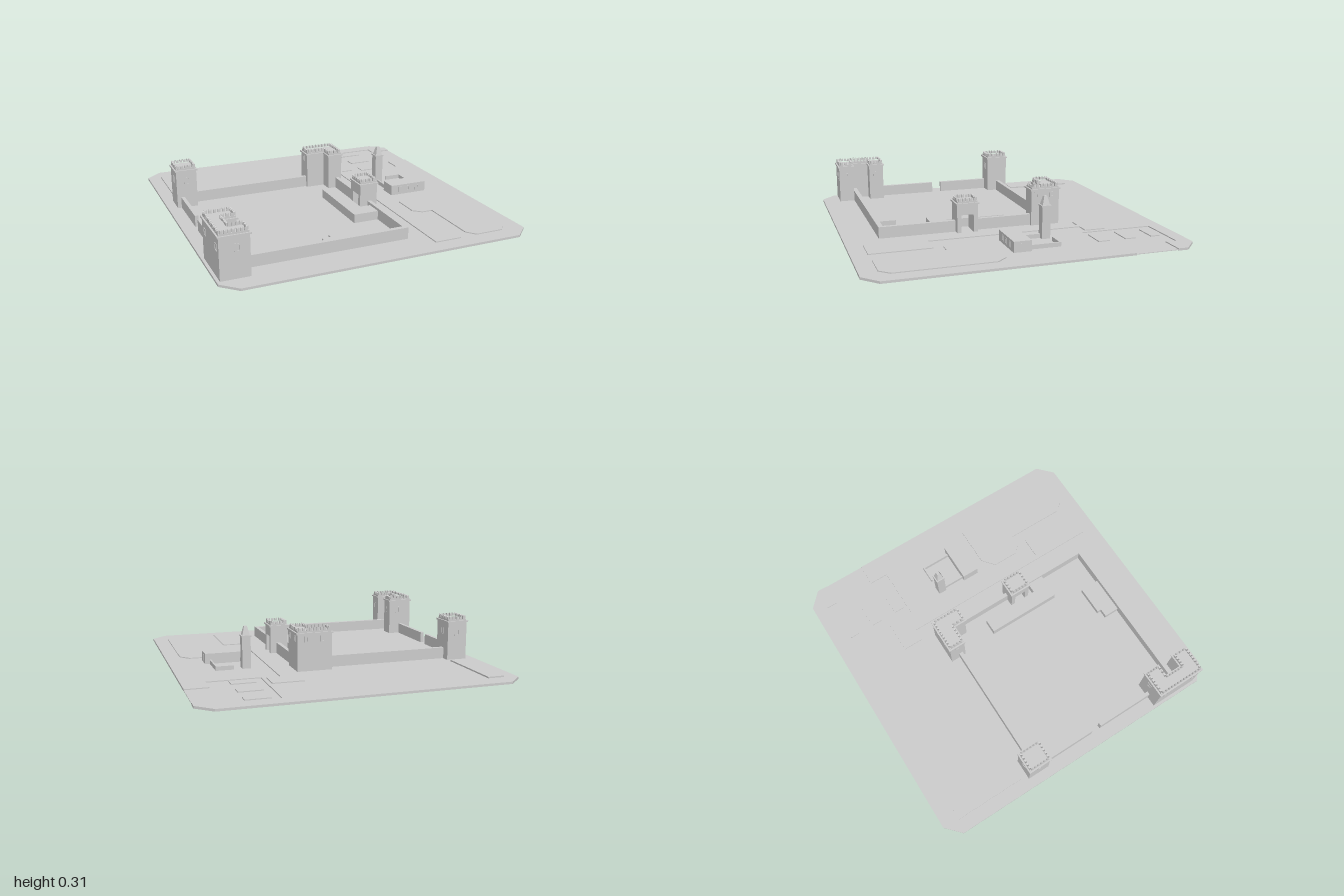
import * as THREE from 'three';

const material = new THREE.MeshStandardMaterial({ color: 0xcccccc, flatShading: true });
const BOTTOM = 0.012, GROUND = 0.026;

export function createModel() {
  const model = new THREE.Group();
  model.name = 'walledCastle';

  const add = (name, geometry, parent = model) => {
    const mesh = new THREE.Mesh(geometry, material);
    mesh.name = name;
    parent.add(mesh);
    return mesh;
  };

  // Upright prism over a plan outline of [x, z] points, optionally hollow
  const prism = (points, y0, y1, hole) => {
    const toVec = ([x, z]) => new THREE.Vector2(x, -z);
    const shape = new THREE.Shape(points.map(toVec));
    if (hole) shape.holes.push(new THREE.Path(hole.map(toVec)));
    return new THREE.ExtrudeGeometry(shape, { depth: y1 - y0, bevelEnabled: false })
      .rotateX(-Math.PI / 2).translate(0, y0, 0);
  };
  const rect = (x0, x1, z0, z1) => [[x0, z0], [x1, z0], [x1, z1], [x0, z1]];

  // Grow (d > 0) or shrink (d < 0) a right-angled outline
  const offset = (pts, d) => {
    const n = pts.length;
    const area = pts.reduce((s, [x, z], i) => {
      const [x2, z2] = pts[(i + 1) % n];
      return s + x * z2 - x2 * z;
    }, 0);
    const normal = (a, b) => {
      const l = Math.hypot(b[0] - a[0], b[1] - a[1]) * Math.sign(area);
      return [(b[1] - a[1]) / l, (a[0] - b[0]) / l];
    };
    return pts.map((p, i) => {
      const n1 = normal(pts[(i + n - 1) % n], p), n2 = normal(p, pts[(i + 1) % n]);
      return [p[0] + d * (n1[0] + n2[0]), p[1] + d * (n1[1] + n2[1])];
    });
  };

  // Swallow-tailed merlon
  const MERLON_T = 0.01;
  const merlonShape = new THREE.Shape([[-0.008, 0], [0.008, 0], [0.008, 0.02], [0, 0.011], [-0.008, 0.02]]
    .map(([x, y]) => new THREE.Vector2(x, y)));
  const merlon = new THREE.ExtrudeGeometry(merlonShape, { depth: MERLON_T, bevelEnabled: false })
    .translate(0, 0, -MERLON_T / 2);

  // Corbelled ledge, parapet and a row of merlons along every side
  const addCrown = (tower, pts, y) => {
    add('ledge', prism(offset(pts, 0.007), y, y + 0.01), tower);
    const outer = offset(pts, -0.003);
    add('parapet', prism(outer, y + 0.01, y + 0.02, offset(outer, -MERLON_T)), tower);
    const line = offset(outer, -MERLON_T / 2);
    line.forEach(([x, z], i) => {
      const [x2, z2] = line[(i + 1) % line.length];
      const count = Math.max(2, Math.round(Math.hypot(x2 - x, z2 - z) / 0.024));
      for (let k = 0; k < count; k++) {
        const t = (k + 0.5) / count;
        const m = add('merlon', merlon, tower);
        m.position.set(x + (x2 - x) * t, y + 0.02, z + (z2 - z) * t);
        m.rotation.y = Math.atan2(z - z2, x2 - x);
      }
    });
  };

  // Window frame on a wall; turn is the number of quarter turns from +z
  const addWindow = (parent, x, y, z, turn, w = 0.034, h = 0.045) => {
    const box = (a, b) => [[-a, -b], [a, -b], [a, b], [-a, b]].map(p => new THREE.Vector2(...p));
    const shape = new THREE.Shape(box(w / 2, h / 2));
    shape.holes.push(new THREE.Path(box(w / 2 - 0.006, h / 2 - 0.006)));
    const frame = add('windowFrame',
      new THREE.ExtrudeGeometry(shape, { depth: 0.003, bevelEnabled: false }), parent);
    frame.position.set(x, y, z);
    frame.rotation.y = turn * Math.PI / 2;
  };

  const addTower = (name, pts, y0, crownY, windows) => {
    const tower = new THREE.Group();
    tower.name = name;
    model.add(tower);
    add('towerBody', prism(pts, y0, crownY), tower);
    addCrown(tower, pts, crownY);
    windows.forEach(w => addWindow(tower, ...w));
  };

  // Ground slab with a sunken garden open to the right edge
  const garden = [[0.965, -0.845], [0.82, -0.845], [0.82, -0.915], [0.49, -0.915],
    [0.49, -0.445], [0.82, -0.445], [0.82, -0.57], [0.965, -0.57]];
  add('groundSlab', prism([[-0.87, -1], [0.87, -1], [0.966, -0.91], ...garden,
    [0.966, 0.91], [0.87, 1], [-0.87, 1], [-0.966, 0.91], [-0.966, -0.91]], BOTTOM, GROUND));
  add('gardenFloor', prism(garden, 0.016, 0.02));
  for (const [z0, z1] of [[-0.88, -0.82], [-0.715, -0.645], [-0.54, -0.465]])
    add('gardenBed', prism(rect(0.54, 0.69, z0, z1), BOTTOM, 0.026));

  // Low raised areas
  add('backTerrace', prism(rect(-0.88, -0.775, -0.89, -0.425), BOTTOM, 0.035));
  add('road', prism([[0.27, -0.615], [0.465, -0.615], [0.465, -0.48], [0.38, -0.48], [0.38, 0.515],
    [0.52, 0.515], [0.52, 0.9], [0.35, 0.9], [0.35, -0.48], [0.27, -0.48]], BOTTOM, 0.032));
  add('lawn', prism([[0.55, 0.17], [0.815, 0.17], [0.87, 0.235], [0.87, 0.835], [0.815, 0.895],
    [0.635, 0.895], [0.59, 0.84], [0.59, 0.455], [0.52, 0.455], [0.47, 0.41], [0.47, 0.235]], BOTTOM, 0.032));

  // Curtain walls
  const walls = {
    frontWall: rect(-0.86, 0.228, 0.755, 0.785),
    rightWallFront: rect(0.203, 0.228, 0.27, 0.755),
    rightWallBack: rect(0.203, 0.228, -0.21, 0.19),
    backWall: rect(-0.78, 0.03, -0.33, -0.304),
    leftWallBack: rect(-0.88, -0.857, -0.24, 0.115),
    leftWallFront: rect(-0.88, -0.857, 0.18, 0.58),
  };
  for (const [name, pts] of Object.entries(walls)) add(name, prism(pts, GROUND, 0.098));

  // Buildings inside the walls
  add('rightRange', prism([[0.04, -0.05], [0.135, -0.05], [0.135, 0.335], [0.205, 0.335],
    [0.205, 0.445], [0.04, 0.445]], BOTTOM, 0.082));
  add('frontRange', prism([[-0.27, 0.756], [-0.27, 0.655], [-0.215, 0.655], [-0.215, 0.628],
    [-0.025, 0.628], [-0.025, 0.756]], BOTTOM, 0.062));

  // Corner towers
  addTower('backLeftTower', rect(-0.905, -0.772, -0.385, -0.237), 0, 0.27, [
    [-0.838, 0.205, -0.237, 0], [-0.772, 0.205, -0.31, 1],
    [-0.838, 0.205, -0.385, 2], [-0.905, 0.205, -0.31, 3]]);
  addTower('frontLeftTower', [[-0.948, 0.568], [-0.78, 0.568], [-0.78, 0.668], [-0.862, 0.668],
    [-0.862, 0.785], [-0.775, 0.785], [-0.775, 0.885], [-0.948, 0.885]], 0, 0.27, [
    [-0.845, 0.205, 0.885, 0], [-0.775, 0.205, 0.837, 1], [-0.78, 0.205, 0.62, 1],
    [-0.845, 0.205, 0.568, 2], [-0.948, 0.205, 0.62, 3], [-0.948, 0.205, 0.837, 3]]);
  addTower('backRightTower', [[0.025, -0.39], [0.247, -0.39], [0.247, -0.2], [0.15, -0.2],
    [0.15, -0.284], [0.025, -0.284]], BOTTOM, 0.255, [
    [0.247, 0.225, -0.235, 1, 0.028, 0.036], [0.247, 0.225, -0.34, 1, 0.028, 0.036],
    [0.085, 0.225, -0.39, 2, 0.028, 0.036], [0.19, 0.225, -0.39, 2, 0.028, 0.036],
    [0.025, 0.225, -0.337, 3, 0.028, 0.036]]);

  // Gate tower: two piers and a solid upper storey over the passage
  const gate = new THREE.Group();
  gate.name = 'gateTower';
  model.add(gate);
  add('gatePier', prism(rect(0.15, 0.268, 0.165, 0.193), BOTTOM, 0.14), gate);
  add('gatePier', prism(rect(0.15, 0.268, 0.272, 0.3), BOTTOM, 0.14), gate);
  add('gateUpperStorey', prism(rect(0.15, 0.268, 0.165, 0.3), 0.14, 0.206), gate);
  addCrown(gate, rect(0.15, 0.268, 0.165, 0.3), 0.206);

  // Chapel with courtyard walls and bell tower
  const chapel = new THREE.Group();
  chapel.name = 'chapel';
  model.add(chapel);
  add('hall', prism(rect(0.487, 0.745, -0.012, 0.1), BOTTOM, 0.093), chapel);
  for (const x of [0.55, 0.614, 0.68]) addWindow(chapel, x, 0.06, 0.1, 0, 0.024, 0.036);
  addWindow(chapel, 0.745, 0.06, 0.045, 1, 0.024, 0.036);
  add('courtWallLeft', prism([[0.6, -0.208], [0.715, -0.208], [0.715, -0.012], [0.705, -0.012],
    [0.705, -0.198], [0.6, -0.198]], BOTTOM, 0.053), chapel);
  add('courtWallRight', prism(rect(0.507, 0.518, -0.16, -0.012), BOTTOM, 0.053), chapel);
  add('bellTower', prism(rect(0.493, 0.547, -0.208, -0.154), BOTTOM, 0.23), chapel);
  add('bellTowerCornice', prism(rect(0.489, 0.551, -0.212, -0.15), 0.225, 0.235), chapel);
  const spire = add('spire', new THREE.CylinderGeometry(0.014, 0.033, 0.055, 4).rotateY(Math.PI / 4), chapel);
  spire.position.set(0.52, 0.2625, -0.181);

  return model;
}
